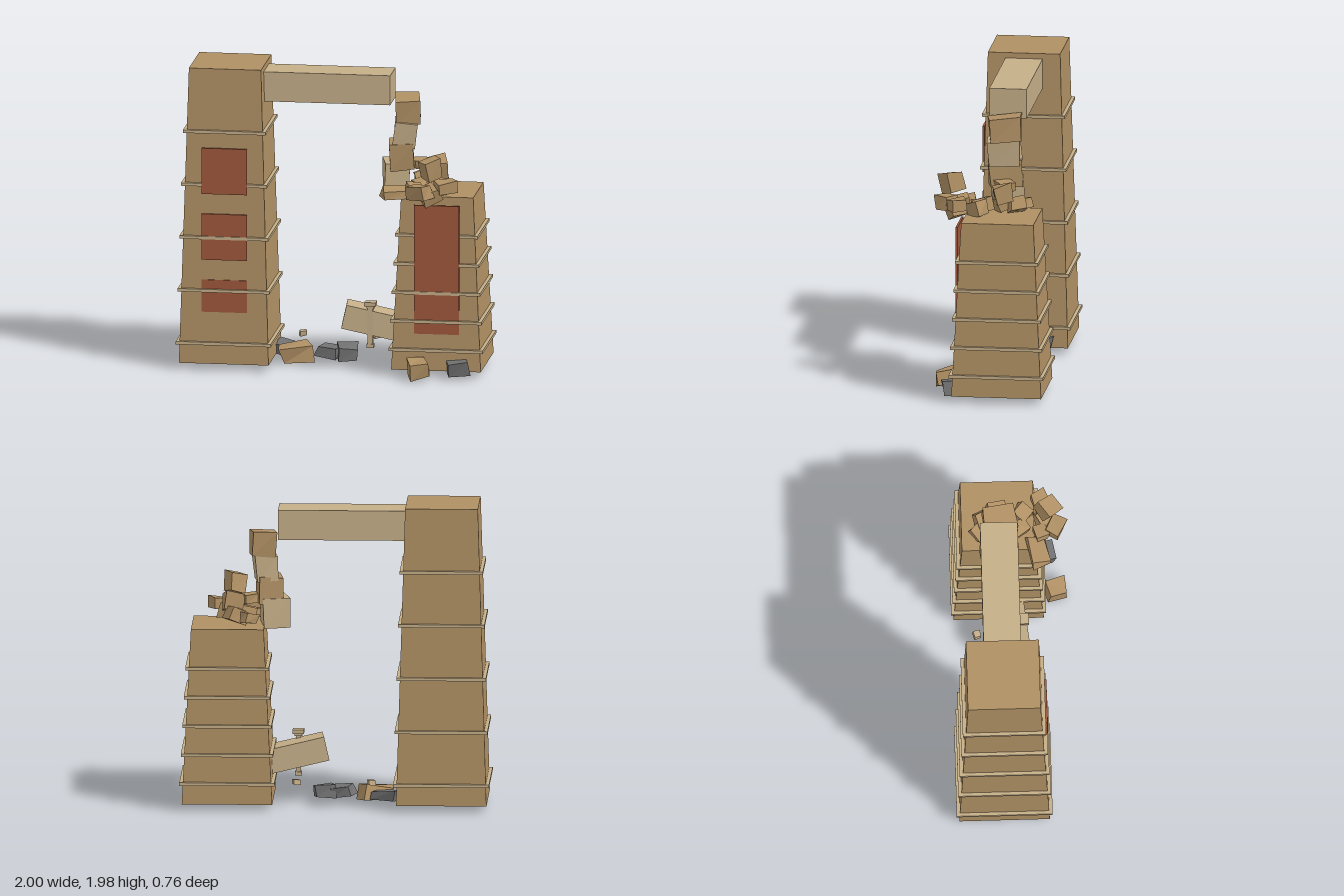
import * as THREE from 'three';

const mat = (name, color) => {
  const m = new THREE.MeshStandardMaterial({ color });
  m.name = name;
  return m;
};

export function createModel() {
  const model = new THREE.Group();
  model.name = 'ruinedArch';
  const stone = mat('sandstone', 0xb09064);
  const pale = mat('paleStone', 0xc5ae88);
  const red = mat('redPanel', 0x9f583c);
  const grey = mat('greyRock', 0x717171);
  const ZC = -0.075; // depth centre of the towers and beam

  const add = (parent, name, geo, m, [x, y, z], [rx, ry, rz] = [0, 0, 0]) => {
    const mesh = new THREE.Mesh(geo, m);
    mesh.name = name;
    mesh.position.set(x, y, z);
    mesh.rotation.set(rx, ry, rz);
    parent.add(mesh);
    return mesh;
  };
  const box = (parent, name, m, size, pos, rot) =>
    add(parent, name, new THREE.BoxGeometry(...size), m, pos, rot);

  // Move the corners of a box by a rule, then make the faces flat again
  const warpBox = (size, rule) => {
    const g = new THREE.BoxGeometry(...size).toNonIndexed();
    const p = g.attributes.position;
    const v = new THREE.Vector3();
    for (let i = 0; i < p.count; i++) {
      v.fromBufferAttribute(p, i);
      rule(v);
      p.setXYZ(i, v.x, v.y, v.z);
    }
    g.computeVertexNormals();
    return g;
  };

  // Broken block: each corner is pushed by a seeded amount
  const chunk = (parent, name, m, size, pos, rot, seed, rough = 0.12) => {
    const rnd = (n) => {
      const s = Math.sin(n * 12.9898 + seed * 78.233) * 43758.5453;
      return (s - Math.floor(s) - 0.5) * 2;
    };
    const geo = warpBox(size, (v) => {
      const c = (v.x > 0 ? 1 : 0) + (v.y > 0 ? 2 : 0) + (v.z > 0 ? 4 : 0);
      v.x += rnd(c * 3 + 1) * size[0] * rough;
      v.y += rnd(c * 3 + 2) * size[1] * rough;
      v.z += rnd(c * 3 + 3) * size[2] * rough;
    });
    return add(parent, name, geo, m, pos, rot);
  };

  // Tapered tower with evenly spaced trim bands
  const tower = (name, x, top, bandTop) => {
    const g = new THREE.Group();
    g.name = name;
    model.add(g);
    const base = 0.04, h = top - base, lower = 0.292, upper = 0.235;
    const half = (y) => lower + (upper - lower) * (y - base) / h;
    add(g, 'towerBody', warpBox([2, h, 2], (v) => {
      const s = v.y > 0 ? upper : lower;
      v.x *= s;
      v.z *= s;
    }), stone, [x, base + h / 2, ZC]);
    for (let i = 0; i < 5; i++) {
      const y = 0.175 + (bandTop - 0.175) * i / 4;
      const w = 2 * half(y) + 0.044;
      box(g, 'trimBand', pale, [w, 0.02, w], [x, y, ZC]);
    }
    return g;
  };
  const panel = (parent, x, y0, y1) =>
    box(parent, 'wallPanel', red, [0.295, y1 - y0, 0.014], [x, (y0 + y1) / 2, 0.2]);

  const tall = tower('tallTower', -0.694, 1.98, 1.567);
  for (const y of [0.29, 0.725, 1.16]) panel(tall, -0.692, y, y + 0.303);
  const broken = tower('brokenTower', 0.69, 1.18, 0.925);
  panel(broken, 0.692, 0.28, 1.13);

  // Surviving lintel
  box(model, 'lintelBeam', pale, [0.967, 0.195, 0.242], [-0.1165, 1.847, ZC]);

  // Leaning stack of blocks below the broken lintel end
  const stack = new THREE.Group();
  stack.name = 'leaningStack';
  model.add(stack);
  [
    [stone, [0.15, 0.16, 0.21], [0.47, 1.705, -0.068], [0.05, 0.14, 0.03]],
    [pale, [0.145, 0.165, 0.21], [0.45, 1.55, -0.062], [0.04, 0.12, -0.06]],
    [stone, [0.155, 0.17, 0.22], [0.423, 1.405, -0.07], [0.03, 0.14, 0.08]],
    [pale, [0.17, 0.18, 0.2], [0.39, 1.265, -0.08], [0, 0.18, -0.04]],
  ].forEach(([m, s, p, r], i) => chunk(stack, 'stackBlock', m, s, p, r, i + 3, 0.05));

  // Rubble on and over the front of the broken tower: size, position, rotation
  const rubble = new THREE.Group();
  rubble.name = 'topRubble';
  model.add(rubble);
  [
    [[0.19, 0.06, 0.12], [0.435, 1.205, 0.18], [0.1, 0.2, 0.02]],
    [[0.1, 0.08, 0.1], [0.59, 1.225, 0.06], [0.2, 0.5, 0.1]],
    [[0.1, 0.07, 0.1], [0.57, 1.235, -0.19], [0.1, 0.7, 0.2]],
    [[0.12, 0.11, 0.11], [0.66, 1.32, -0.08], [0.2, 0.2, 0.1]],
    [[0.11, 0.09, 0.1], [0.64, 1.25, -0.17], [0.1, 0.4, 0.3]],
    [[0.11, 0.06, 0.11], [0.55, 1.345, -0.08], [0.1, 0.4, -0.1]],
    [[0.12, 0.1, 0.1], [0.57, 1.235, -0.07], [0.3, 0.3, 0.1]],
    [[0.11, 0.12, 0.11], [0.665, 1.385, 0.25], [0.15, 0.6, 0.15]],
    [[0.12, 0.07, 0.1], [0.75, 1.26, 0.2], [0.1, 0.4, 0.1]],
    [[0.13, 0.08, 0.1], [0.595, 1.24, 0.3], [0.1, -0.5, 0.1]],
    [[0.12, 0.1, 0.11], [0.65, 1.2, 0.23], [0.2, 0.5, 0.3]],
    [[0.1, 0.08, 0.1], [0.69, 1.23, 0.08], [0.1, 0.9, 0.1]],
    [[0.1, 0.07, 0.09], [0.55, 1.23, 0.2], [0.1, 0.3, -0.2]],
  ].forEach(([s, p, r], i) => chunk(rubble, 'rubblePiece', stone, s, p, r, i + 11));

  // Fallen lintel end with a small capped post against it
  box(model, 'fallenLintel', pale, [0.4, 0.158, 0.19], [0.26, 0.312, 0.005], [0, 0.1, -0.22]);
  const post = new THREE.Group();
  post.name = 'cappedPost';
  model.add(post);
  box(post, 'postCap', pale, [0.074, 0.025, 0.066], [0.245, 0.442, 0.083]);
  box(post, 'postNeck', pale, [0.05, 0.02, 0.045], [0.245, 0.422, 0.083]);
  box(post, 'postShaft', pale, [0.032, 0.26, 0.032], [0.245, 0.29, 0.088]);
  box(post, 'postFoot', pale, [0.046, 0.025, 0.042], [0.245, 0.165, 0.085]);
  for (const x of [-0.24, 0.245])
    chunk(model, 'stoneChip', pale, [0.045, 0.03, 0.045], [x, 0.165, -0.222], [0.1, 0.3, 0.1], 5);

  // Fallen rocks on the ground
  const rocks = new THREE.Group();
  rocks.name = 'groundRocks';
  model.add(rocks);
  [
    [stone, [0.19, 0.09, 0.15], [-0.27, 0.073, -0.08], [0.1, 0.2, 0.05]],
    [grey, [0.16, 0.06, 0.13], [-0.34, 0.075, -0.18], [0.1, -0.5, 0]],
    [grey, [0.13, 0.085, 0.14], [0.07, 0.082, -0.08], [0.1, 0.2, -0.05]],
    [grey, [0.13, 0.06, 0.14], [-0.05, 0.082, -0.08], [0, -0.2, -0.1]],
    [stone, [0.13, 0.1, 0.13], [0.585, 0.075, 0.29], [0.15, 0.3, 0.1]],
    [grey, [0.14, 0.09, 0.13], [0.825, 0.067, 0.225], [0.1, 0.3, 0.1]],
  ].forEach(([m, s, p, r], i) => chunk(rocks, 'groundRock', m, s, p, r, i + 31, 0.13));

  return model;
}
